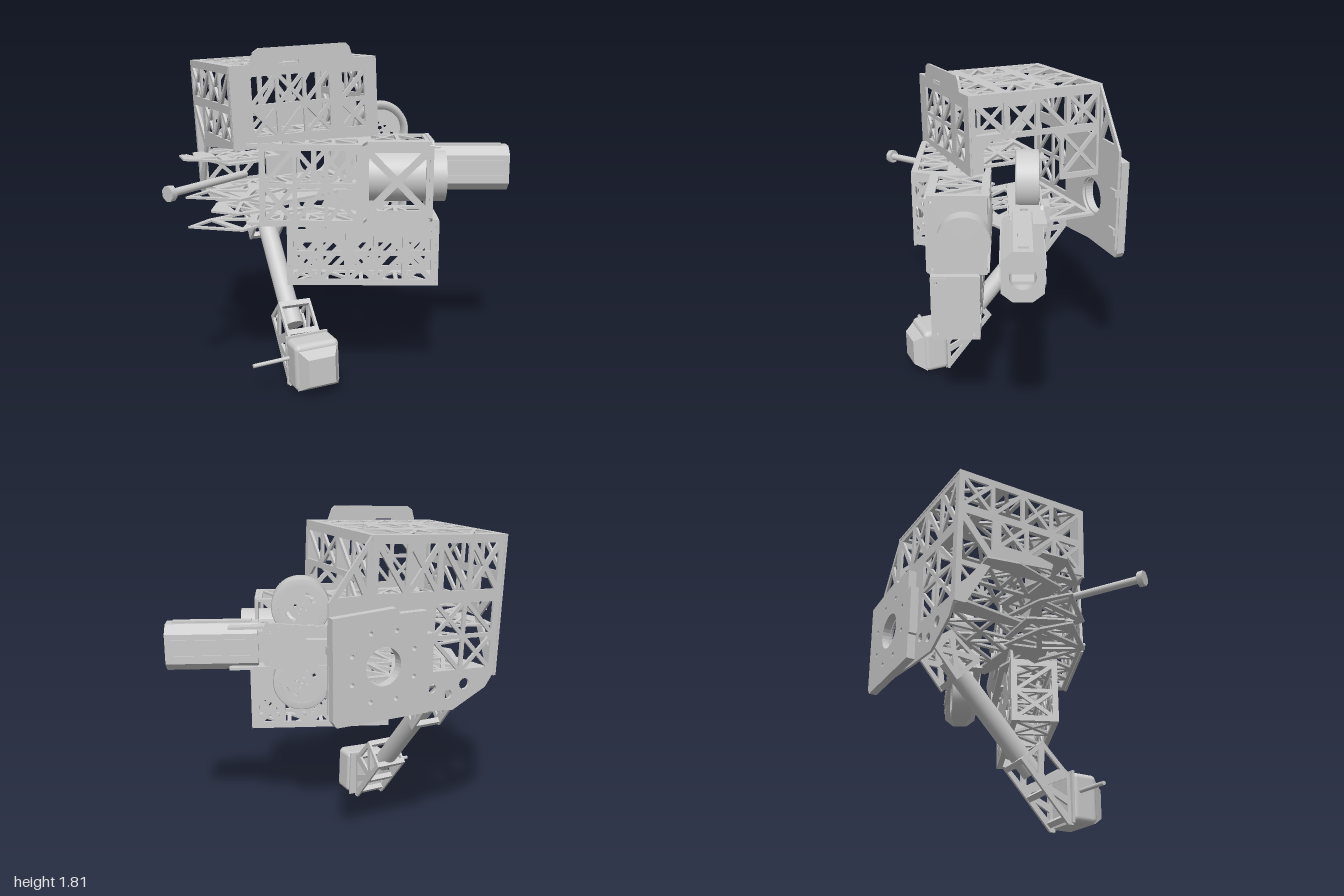
import * as THREE from 'three';
import { RoundedBoxGeometry } from 'three/addons/geometries/RoundedBoxGeometry.js';

const mat = new THREE.MeshStandardMaterial({ color: 0xcccccc, side: THREE.DoubleSide });
const V2 = (x, y) => new THREE.Vector2(x, y);

function add(parent, name, geo, x = 0, y = 0, z = 0) {
  const m = new THREE.Mesh(geo, mat);
  m.name = name;
  m.position.set(x, y, z);
  parent.add(m);
  return m;
}
const box = (p, name, w, h, d, x, y, z) => add(p, name, new THREE.BoxGeometry(w, h, d), x, y, z);

// Cylinder between two points
function rod(p, name, a, b, r, sides = 20) {
  const A = new THREE.Vector3(...a), B = new THREE.Vector3(...b);
  const m = add(p, name, new THREE.CylinderGeometry(r, r, A.distanceTo(B), sides));
  m.position.copy(A).add(B).multiplyScalar(0.5);
  m.quaternion.setFromUnitVectors(new THREE.Vector3(0, 1, 0), B.sub(A).normalize());
  return m;
}

// Triangle shrunk evenly towards its incentre, leaving a strut of width d on each side
function tri(a, b, c, d = 0.011) {
  const [A, B, C] = [a, b, c].map(q => V2(...q));
  const la = B.distanceTo(C), lb = A.distanceTo(C), lc = A.distanceTo(B), s = la + lb + lc;
  const I = V2((la * A.x + lb * B.x + lc * C.x) / s, (la * A.y + lb * B.y + lc * C.y) / s);
  const r = Math.abs((B.x - A.x) * (C.y - A.y) - (B.y - A.y) * (C.x - A.x)) / s;
  const k = Math.max(0.1, (r - d) / r);
  return new THREE.Path([A, B, C].map(q => q.sub(I).multiplyScalar(k).add(I)));
}

// Grid of truss openings, alternating crossed and diagonal cells
function truss(x0, y0, x1, y1, nx, ny, d) {
  const out = [], w = (x1 - x0) / nx, h = (y1 - y0) / ny;
  for (let i = 0; i < nx; i++) for (let j = 0; j < ny; j++) {
    const x = x0 + i * w, y = y0 + j * h;
    const q = [[x, y], [x + w, y], [x + w, y + h], [x, y + h]];
    if ((i + j) % 2) out.push(tri(q[0], q[1], q[2], d), tri(q[0], q[2], q[3], d));
    else q.forEach((c, k) => out.push(tri(c, q[(k + 1) % 4], [x + w / 2, y + h / 2], d)));
  }
  return out;
}
const hole = (x, y, r) => new THREE.Path().absarc(x, y, r, 0, Math.PI * 2, true);
const rect = (x0, y0, x1, y1) => [[x0, y0], [x1, y0], [x1, y1], [x0, y1]];

// Cut plate: plane 'xy' faces z, 'zy' faces x, 'xz' is level
function panel(p, name, pts, holes, plane, at, t = 0.014) {
  const s = new THREE.Shape(pts.map(q => V2(...q)));
  s.holes = holes;
  const g = new THREE.ExtrudeGeometry(s, { depth: t, bevelEnabled: false, curveSegments: 16 }).translate(0, 0, -t / 2);
  if (plane === 'zy') g.rotateY(-Math.PI / 2).translate(at, 0, 0);
  else if (plane === 'xz') g.rotateX(Math.PI / 2).translate(0, at, 0);
  else g.translate(0, 0, at);
  return add(p, name, g);
}

// Upper cage, leaning slightly sideways
function cage() {
  const g = new THREE.Group();
  g.name = 'upperCage';
  g.position.set(-0.24, 1.725, 0);
  g.rotation.z = 0.05;
  panel(g, 'cageTop', rect(-0.4, -0.52, 0.4, 0.24), [
    ...truss(-0.37, -0.49, 0.37, -0.27, 4, 1), ...truss(-0.37, -0.23, -0.17, 0.02, 1, 2),
    ...truss(0.17, -0.23, 0.37, 0.02, 1, 2), ...truss(-0.12, -0.22, 0.12, 0.0, 2, 1),
    ...truss(-0.37, 0.06, 0.37, 0.21, 5, 1)], 'xz', -0.007);
  panel(g, 'cageFront', [[-0.4, 0], [-0.29, 0], [-0.27, 0.06], [-0.24, 0.078], [0.23, 0.078], [0.25, 0.06],
    [0.27, 0], [0.4, 0], [0.4, -0.42], [-0.4, -0.42]], [
    ...truss(-0.3, -0.37, 0.14, -0.05, 3, 2, 0.01), ...truss(0.19, -0.37, 0.34, -0.06, 1, 2, 0.012),
    new THREE.Path(rect(-0.14, -0.012, -0.03, 0.008).map(q => V2(...q)))], 'xy', 0.238);
  // Back wall: top strip, sloping wing and lower part
  panel(g, 'cageBackTop', rect(-0.4, -0.32, 0.4, 0), truss(-0.37, -0.3, 0.37, -0.03, 4, 1, 0.014), 'xy', -0.51);
  panel(g, 'cageBackWing', [[0.4, -0.32], [0.62, -0.32], [0.4, 0]],
    [tri([0.41, -0.03], [0.41, -0.3], [0.48, -0.15]), tri([0.42, -0.3], [0.59, -0.31], [0.49, -0.16])], 'xy', -0.51);
  panel(g, 'cageBackLower', [[-0.4, -0.32], [-0.39, -0.74], [-0.34, -0.82], [-0.14, -0.93], [0.1, -0.92],
    [0.6, -0.88], [0.62, -0.32]], [
    ...truss(-0.36, -0.72, 0.02, -0.34, 2, 2), hole(0.33, -0.643, 0.105),
    hole(-0.2, -0.79, 0.03), hole(-0.1, -0.84, 0.025), hole(0, -0.8, 0.025)], 'xy', -0.51);
  panel(g, 'cageLeftSide', [[0.235, 0], [-0.52, 0], [-0.51, -0.5], [-0.27, -0.5], [-0.27, -0.28], [-0.23, -0.24],
    [0.12, -0.24], [0.17, -0.29], [0.17, -0.41], [0.235, -0.41]], [
    ...truss(-0.5, -0.22, 0.22, -0.04, 4, 1), ...truss(-0.5, -0.48, -0.28, -0.24, 1, 1)], 'zy', 0.395);
  panel(g, 'cageRightSide', [[0.235, 0], [-0.52, 0], [-0.52, -0.76], [-0.46, -0.76], [-0.3, -0.47], [0.235, -0.41]], [
    ...truss(-0.5, -0.21, 0.22, -0.03, 4, 1), ...truss(-0.28, -0.39, 0.22, -0.23, 3, 1),
    tri([-0.5, -0.24], [-0.31, -0.24], [-0.31, -0.46]), tri([-0.5, -0.27], [-0.33, -0.47], [-0.5, -0.7])], 'zy', -0.395);
  return g;
}

// Square mounting plate on the back, with side lugs
function mount(p) {
  const holes = [hole(0.12, 1.1, 0.1)];
  for (let i = 0; i < 8; i++) {
    const a = (i + 0.5) * Math.PI / 4;
    holes.push(hole(0.12 + 0.19 * Math.cos(a), 1.1 + 0.19 * Math.sin(a), 0.012));
  }
  panel(p, 'mountPlate', [[-0.15, 0.82], [0.38, 0.82], [0.4, 0.85], [0.4, 1.37], [0.05, 1.39], [0.03, 1.36], [-0.13, 1.36],
    [-0.13, 1.24], [-0.17, 1.24], [-0.17, 0.96], [-0.15, 0.96]], holes, 'xy', -0.545, 0.045);
  for (const y of [0.98, 1.2]) box(p, 'mountLug', 0.06, 0.04, 0.06, 0.37, y, -0.52);
}

// Turned front assembly: magazine, body blocks, barrel and wheels
function frontUnit() {
  const g = new THREE.Group();
  g.name = 'frontUnit';
  g.rotation.y = -0.41;
  // Lower tray
  panel(g, 'trayFront', rect(-0.22, 0.55, 0.577, 0.9), truss(-0.2, 0.57, 0.55, 0.88, 5, 2, 0.013), 'xy', 0.342);
  panel(g, 'trayBack', [[-0.22, 0.55], [0.577, 0.55], [0.577, 0.9], [0.3, 0.9], [0.3, 1.02], [-0.22, 1.02]],
    [...truss(-0.2, 0.57, 0.55, 0.74, 5, 1, 0.018), ...truss(-0.2, 0.78, 0.0, 0.98, 2, 1, 0.016), hole(0.2, 0.85, 0.03)], 'xy', 0.105);
  panel(g, 'trayBottom', rect(-0.22, 0.1, 0.577, 0.349), truss(-0.2, 0.12, 0.55, 0.33, 4, 1), 'xz', 0.557);
  panel(g, 'trayTop', rect(-0.22, 0.1, 0.577, 0.349), truss(-0.2, 0.12, 0.55, 0.33, 4, 1), 'xz', 0.9);
  panel(g, 'trayEnd', rect(0.1, 0.55, 0.35, 0.9), [hole(0.13, 0.58, 0.008), hole(0.32, 0.58, 0.008), hole(0.32, 0.87, 0.008)], 'zy', 0.572);
  panel(g, 'trayInnerEnd', rect(0.1, 0.55, 0.35, 0.9), truss(0.12, 0.57, 0.33, 0.88, 1, 2), 'zy', -0.213);
  // Body plates, top and bottom
  const deck = [[-0.41, 0.47], [0.17, 0.47], [0.2, 0.36], [0.53, 0.36], [0.53, 0.05], [-0.1, 0.05], [-0.41, 0.24]];
  for (const y of [0.915, 1.315]) {
    panel(g, 'bodyDeck', deck, [...truss(-0.38, 0.27, 0.16, 0.45, 4, 1), ...truss(0.21, 0.08, 0.51, 0.33, 2, 1),
      tri([-0.08, 0.07], [0.17, 0.07], [0.17, 0.24]), tri([-0.09, 0.09], [0.14, 0.25], [-0.3, 0.25])], 'xz', y);
  }
  panel(g, 'bodyFrontInner', rect(-0.35, 0.9, 0.17, 1.32), truss(-0.33, 0.92, 0.15, 1.3, 3, 2), 'xy', 0.465);
  panel(g, 'bodyFrontOuter', [[0.17, 0.9], [0.52, 0.9], [0.54, 0.93], [0.54, 1.3], [0.52, 1.32], [0.17, 1.32]],
    truss(0.19, 0.94, 0.52, 1.28, 1, 1, 0.018), 'xy', 0.36);
  panel(g, 'bodyStep', rect(0.35, 0.91, 0.47, 1.31), truss(0.36, 0.94, 0.46, 1.28, 1, 3), 'zy', 0.172);
  panel(g, 'bodyBack', rect(-0.1, 1.02, 0.3, 1.32), truss(-0.08, 1.04, 0.28, 1.3, 2, 1), 'xy', 0.06);
  panel(g, 'bodyEnd', [[0.06, 0.9], [0.35, 0.9], [0.37, 0.92], [0.37, 1.3], [0.35, 1.325], [0.06, 1.325]],
    [hole(0.34, 0.93, 0.008), hole(0.34, 1.29, 0.008)], 'zy', 0.53, 0.02);
  rod(g, 'bodyMotor', [0.18, 1.11, 0.175], [0.62, 1.11, 0.175], 0.135, 40);
  // Octagonal barrel with a bored muzzle
  const oct = [], cut = [[0.045, 0.125], [0.1, 0.08]];
  for (const [sx, sy] of [[1, 1], [-1, 1], [-1, -1], [1, -1]]) {
    const c = sx * sy > 0 ? [cut[1], cut[0]] : cut;
    c.forEach(([a, b]) => oct.push([sx * a - 0.11, sy * b + 1.112]));
  }
  panel(g, 'barrel', oct, [hole(-0.11, 1.112, 0.062)], 'zy', 0.76, 0.49);
  rod(g, 'barrelBore', [0.53, 1.112, -0.11], [0.9, 1.112, -0.11], 0.063, 24);
  for (const y of [1.07, 1.155]) box(g, 'barrelRail', 0.45, 0.014, 0.215, 0.75, y, -0.11);
  box(g, 'barrelSpine', 0.42, 0.014, 0.05, 0.76, 1.24, -0.11);
  box(g, 'barrelNeck', 0.3, 0.17, 0.15, 0.38, 1.112, -0.11);
  for (const y of [1.005, 1.225]) panel(g, 'neckPlate', [[0.1, -0.21], [0.5, -0.22], [0.67, -0.23], [0.67, -0.17], [0.62, -0.05], [0.1, -0.03]],
    [hole(0.2, -0.15, 0.03), hole(0.48, -0.12, 0.02)], 'xz', y);
  panel(g, 'wheelBracket', [[0.1, 1.02], [0.47, 1.0], [0.49, 1.03], [0.49, 1.22], [0.47, 1.25], [0.1, 1.22]],
    [hole(0.15, 1.12, 0.03), hole(0.45, 1.04, 0.008), hole(0.45, 1.2, 0.008)], 'xy', -0.21);
  box(g, 'wheelBracketStop', 0.12, 0.09, 0.05, 0.2, 1.12, -0.235);
  // Two wheels with a hollow front and slotted back disc
  for (const y of [1.325, 0.915]) {
    const w = new THREE.Group();
    w.name = 'wheel';
    w.position.set(0.287, y, -0.138);
    const ring = [[0.115, -0.06], [0.15, -0.06], [0.155, -0.055], [0.155, 0.055], [0.15, 0.06], [0.115, 0.06], [0.115, -0.06]];
    add(w, 'wheelRim', new THREE.LatheGeometry(ring.map(q => V2(...q)), 48).rotateX(Math.PI / 2));
    const disc = new THREE.Shape().absarc(0, 0, 0.12, 0, Math.PI * 2), slots = [hole(0, 0, 0.012)];
    for (let i = 0; i < 4; i++) {
      const a = i * Math.PI / 2 + 0.35, b = a + 0.9;
      if (i % 2) slots.push(new THREE.Path().absarc(0, 0, 0.085, a, b, false).absarc(0, 0, 0.065, b, a, true));
      slots.push(hole(0.03 * Math.cos(a), 0.03 * Math.sin(a), 0.008));
    }
    disc.holes = slots;
    add(w, 'wheelDisc', new THREE.ExtrudeGeometry(disc, { depth: 0.03, bevelEnabled: false, curveSegments: 32 }), 0, 0, -0.055);
    g.add(w);
  }
  return g;
}

// Side claw: stacked thin plates leaning with the cage, and a rod with a knob
function claw(p) {
  const g = new THREE.Group();
  g.name = 'claw';
  g.position.set(0.05, 0.025, 0);
  g.rotation.z = 0.05;
  panel(g, 'clawHook', [[-0.35, 0.2], [-0.64, 0.18], [-0.81, 0.0], [-0.8, -0.14], [-0.76, -0.14], [-0.73, -0.03], [-0.62, 0.02], [-0.35, -0.06]],
    [...truss(-0.6, 0.04, -0.37, 0.17, 2, 1, 0.009), tri([-0.63, 0.03], [-0.63, 0.17], [-0.77, 0.02])], 'xz', 1.235, 0.011);
  // Lower plates with a straight slanted end
  for (const y of [1.04, 0.88]) {
    panel(g, 'clawPlate', [[-0.82, 0.02], [-0.59, 0.25], [-0.3, 0.12], [-0.42, -0.14], [-0.68, -0.08]],
      [tri([-0.8, 0.02], [-0.6, 0.22], [-0.67, -0.06]), tri([-0.58, 0.23], [-0.66, -0.07], [-0.47, 0.05]),
        tri([-0.65, -0.07], [-0.43, -0.12], [-0.47, 0.04]), tri([-0.56, 0.22], [-0.32, 0.11], [-0.46, 0.06])], 'xz', y, 0.011);
  }
  panel(g, 'clawInnerPlate', [[-0.7, -0.21], [-0.67, -0.38], [-0.4, -0.36], [-0.4, 0.1], [-0.6, 0.1]],
    truss(-0.6, -0.34, -0.42, 0.0, 1, 2), 'xz', 1.2, 0.011);
  panel(g, 'clawInnerPlate', [[-0.7, 0.05], [-0.62, -0.12], [-0.35, -0.1], [-0.35, 0.2], [-0.6, 0.2]],
    truss(-0.6, -0.08, -0.37, 0.17, 2, 1), 'xz', 0.955, 0.011);
  panel(g, 'centreDeck', [[-0.58, -0.48], [0.2, -0.48], [0.2, 0.08], [-0.4, 0.2], [-0.5, 0.0]],
    truss(-0.46, -0.46, 0.17, 0.02, 4, 2), 'xz', 0.985);
  panel(g, 'upperDeck', [[-0.58, -0.24], [0.12, -0.24], [0.12, 0.2], [-0.5, 0.2]],
    truss(-0.52, -0.22, 0.1, 0.16, 3, 2), 'xz', 1.315);
  p.add(g);
  rod(p, 'clawRod', [-0.97, 1.117, 0.34], [-0.52, 1.142, 0.1], 0.02);
  rod(p, 'clawRodKnob', [-0.985, 1.116, 0.348], [-0.958, 1.118, 0.334], 0.04, 8);
}

// Leg: brackets, slanted tube and padded foot
function leg() {
  const g = new THREE.Group();
  g.name = 'leg';
  rod(g, 'legTube', [-0.26, 0.8, -0.38], [-0.26, 0.27, 0.11], 0.054, 24);
  for (const x of [-0.345, -0.175]) {
    panel(g, 'legUpperBracket', [[-0.24, 0.79], [-0.375, 0.655], [-0.505, 0.81], [-0.49, 0.87], [-0.41, 0.93]],
      [tri([-0.26, 0.79], [-0.37, 0.68], [-0.385, 0.8]), tri([-0.38, 0.69], [-0.48, 0.8], [-0.39, 0.8]),
        tri([-0.27, 0.8], [-0.4, 0.91], [-0.39, 0.81]), tri([-0.4, 0.81], [-0.48, 0.81], [-0.41, 0.91])], 'zy', x);
    panel(g, 'legLowerBracket', [[0.12, 0.42], [-0.01, 0.3], [0.26, 0.0], [0.29, 0.0], [0.29, 0.26], [0.25, 0.29]],
      [tri([0.11, 0.4], [0.01, 0.3], [0.1, 0.21]), tri([0.12, 0.4], [0.11, 0.21], [0.24, 0.28]),
        tri([0.12, 0.19], [0.27, 0.26], [0.27, 0.13]), tri([0.12, 0.18], [0.27, 0.11], [0.27, 0.03])], 'zy', x);
  }
  for (const [y, z] of [[0.8, -0.26], [0.68, -0.37], [0.91, -0.41], [0.4, 0.12], [0.3, 0.01], [0.16, 0.14], [0.28, 0.24], [0.04, 0.26]])
    box(g, 'legCrossbar', 0.17, 0.03, 0.03, -0.26, y, z).rotation.x = 0.8;
  box(g, 'footPlate', 0.24, 0.27, 0.014, -0.25, 0.15, 0.285).rotation.z = 0.04;
  const foot = new THREE.Group();
  foot.name = 'foot';
  foot.position.set(-0.245, 0.152, 0);
  foot.rotation.z = 0.04;
  add(foot, 'footPad', new RoundedBoxGeometry(0.25, 0.26, 0.15, 4, 0.03), 0, 0, 0.36);
  add(foot, 'footNose', new THREE.CylinderGeometry(0.105, 0.165, 0.07, 4, 1, false, Math.PI / 4).rotateX(Math.PI / 2).toNonIndexed(), 0, -0.008, 0.455)
    .geometry.computeVertexNormals();
  g.add(foot);
  rod(g, 'footPin', [-0.57, 0.165, 0.33], [-0.35, 0.18, 0.33], 0.011, 10);
  return g;
}

export function createModel() {
  const root = new THREE.Group();
  root.name = 'model';
  root.add(cage(), frontUnit(), leg());
  mount(root);
  claw(root);
  return root;
}
